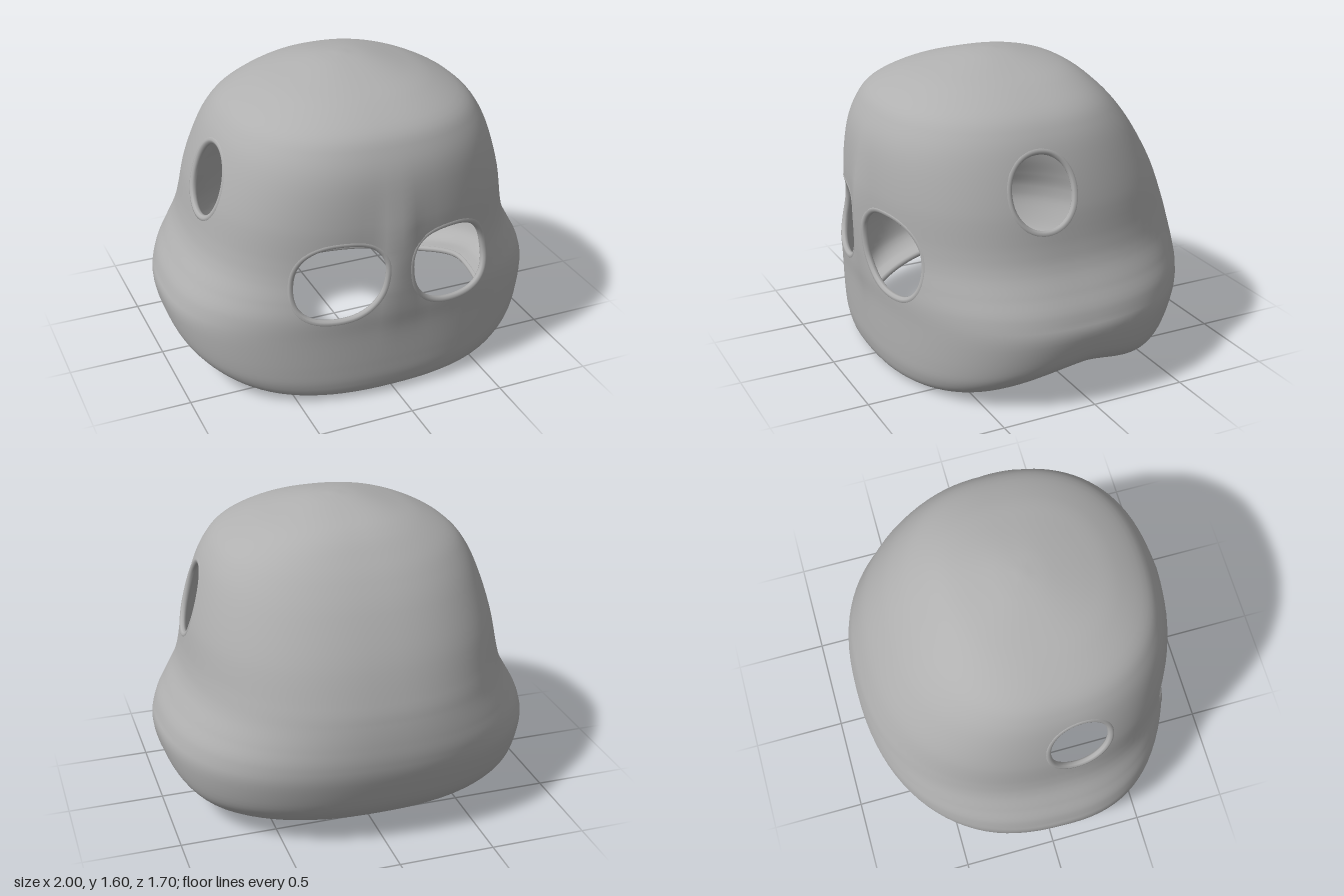
import * as THREE from 'three';

const THICK = 0.03, Z0 = 0.08;

// Shell levels from rim to crown: [y, half width, front z, back z]
const LEVELS = [
  [0, 0.80, 0.735, -0.56], [0.03, 0.88, 0.785, -0.66], [0.1, 0.945, 0.805, -0.73],
  [0.2, 0.98, 0.81, -0.785], [0.38, 1.0, 0.812, -0.835], [0.5, 0.975, 0.82, -0.85],
  [0.6, 0.92, 0.82, -0.845], [0.7, 0.865, 0.817, -0.83], [0.8, 0.835, 0.817, -0.805],
  [1.0, 0.80, 0.82, -0.73], [1.2, 0.74, 0.80, -0.62], [1.33, 0.68, 0.755, -0.525],
  [1.42, 0.60, 0.69, -0.44], [1.5, 0.45, 0.55, -0.345], [1.55, 0.30, 0.40, -0.24],
  [1.59, 0.14, 0.22, -0.06], [1.605, 0, Z0, Z0],
];
const sideCurve = new THREE.CatmullRomCurve3(
  LEVELS.map(([y, w]) => new THREE.Vector3(w, y, 0)), false, 'catmullrom');
const depthCurve = new THREE.CatmullRomCurve3(
  LEVELS.map(([, , f, b]) => new THREE.Vector3(f, b, 0)), false, 'catmullrom');

// Height of the bottom edge: low at the front, arched at the sides
function rimHeight(z) {
  const s = THREE.MathUtils.smoothstep;
  return z > 0 ? 0.01 + 0.17 * (1 - s(z, -0.05, 0.8)) : 0.18 - 0.095 * s(-z, -0.03, 0.45);
}

// Outer surface: u goes around from the front, v from rim to crown
function surface(u, v) {
  const t = THREE.MathUtils.clamp(v, 0, 1);
  const a = u * Math.PI * 2, k = 2 / 2.35;
  const side = sideCurve.getPoint(t), depth = depthCurve.getPoint(t);
  const s = Math.sin(a), c = Math.cos(a);
  const x = side.x * Math.sign(s) * Math.abs(s) ** k;
  const reach = c > 0 ? depth.x - Z0 : Z0 - depth.y;
  let z = Z0 + reach * Math.sign(c) * Math.abs(c) ** k;
  let y = side.y;
  // ridge between the eye openings
  if (c > 0) z += 0.033 * Math.exp(-((x / 0.09) ** 2) - ((y - 0.8) / 0.3) ** 2);
  if (y < 0.45) {
    const low = rimHeight(z);
    y = low + (0.45 - low) * (y / 0.45);
  }
  return new THREE.Vector3(x, y, z);
}

function normalAt(u, v) {
  if (v > 0.995) return new THREE.Vector3(0, 1, 0);
  const e = 0.002, v0 = Math.max(v - e, 0);
  const du = surface(u + e, v).sub(surface(u - e, v));
  const dv = surface(u, v + e).sub(surface(u, v0));
  return du.cross(dv).normalize();
}

// Openings: each test is negative inside
const oval = (a, b, n) => Math.abs(a) ** n + Math.abs(b) ** n - 1;
const openings = [];
for (const side of [1, -1]) {
  openings.push({
    name: side > 0 ? 'leftEyeRim' : 'rightEyeRim',
    test: (p) => {
      if (p.z < 0.2) return 9;
      const dy = p.y - 0.695;
      return oval((side * p.x - 0.3 + 0.12 * dy) / 0.235, dy / 0.215, 2.4);
    },
  });
  openings.push({
    name: side > 0 ? 'leftEarRim' : 'rightEarRim',
    test: (p) => (side * p.x < 0.3 ? 9 : oval((p.z - 0.175) / 0.172, (p.y - 1.075) / 0.195, 2.1)),
  });
}
const openTest = (q) => {
  const p = surface(q[0], q[1]);
  return Math.min(...openings.map((o) => o.test(p)));
};
const mix = (a, b, t) => [a[0] + (b[0] - a[0]) * t, a[1] + (b[1] - a[1]) * t];

// Point on the edge of an opening between an inside and an outside point
function crossing(inside, outside, test) {
  let lo = 0, hi = 1;
  for (let i = 0; i < 14; i++) {
    const m = (lo + hi) / 2;
    if (test(mix(inside, outside, m)) < 0) lo = m; else hi = m;
  }
  return mix(inside, outside, hi);
}

// Keep the part of a cell that lies outside the openings
function clip(poly) {
  const f = poly.map(openTest);
  if (f.every((d) => d >= 0)) return poly;
  const out = [];
  poly.forEach((q, i) => {
    const j = (i + 1) % poly.length;
    if (f[i] >= 0) out.push(q);
    if (f[i] >= 0 !== f[j] >= 0) {
      out.push(f[i] < 0 ? crossing(q, poly[j], openTest) : crossing(poly[j], q, openTest));
    }
  });
  return out;
}

// Outer and inner skins from the same clipped grid
function buildSkins() {
  const NU = 96, NV = 64;
  const outer = { pos: [], nor: [] }, inner = { pos: [], nor: [] };
  const emit = (tri) => {
    const pts = tri.map(([u, v]) => ({ p: surface(u, v), n: normalAt(u, v) }));
    for (const { p, n } of pts) {
      outer.pos.push(p.x, p.y, p.z);
      outer.nor.push(n.x, n.y, n.z);
    }
    for (const { p, n } of pts.reverse()) {
      const q = p.clone().addScaledVector(n, -THICK);
      inner.pos.push(q.x, q.y, q.z);
      inner.nor.push(-n.x, -n.y, -n.z);
    }
  };
  for (let j = 0; j < NV; j++) {
    for (let i = 0; i < NU; i++) {
      const [a, b, c, d] = [[i, j], [i + 1, j], [i + 1, j + 1], [i, j + 1]]
        .map(([m, n]) => [m / NU, n / NV]);
      for (const tri of [[a, b, c], [a, c, d]]) {
        const poly = clip(tri);
        for (let k = 1; k + 1 < poly.length; k++) emit([poly[0], poly[k], poly[k + 1]]);
      }
    }
  }
  return [outer, inner].map(({ pos, nor }) => {
    const g = new THREE.BufferGeometry();
    g.setAttribute('position', new THREE.Float32BufferAttribute(pos, 3));
    g.setAttribute('normal', new THREE.Float32BufferAttribute(nor, 3));
    return g;
  });
}

// Rounded edge that joins both skins along a path of (u, v) points
function edgeTube(path, radius) {
  const pts = path.map(([u, v]) => surface(u, v).addScaledVector(normalAt(u, v), -THICK / 2));
  return new THREE.TubeGeometry(new THREE.CatmullRomCurve3(pts, true), path.length * 2, radius, 8, true);
}

function openingPath(opening) {
  const test = (q) => opening.test(surface(q[0], q[1]));
  let centre = [0, 0], best = Infinity;
  for (let i = 0; i < 80; i++) {
    for (let j = 5; j < 60; j++) {
      const q = [i / 80 - 0.5, j / 64], d = test(q);
      if (d < best) { best = d; centre = q; }
    }
  }
  return Array.from({ length: 40 }, (_, i) => {
    const a = (i / 40) * Math.PI * 2;
    return crossing(centre, [centre[0] + 0.12 * Math.cos(a), centre[1] + 0.24 * Math.sin(a)], test);
  });
}

export function createModel() {
  const group = new THREE.Group();
  group.name = 'helmet';
  const shellGrey = new THREE.MeshStandardMaterial({ color: 0xb0b0b0 });
  shellGrey.name = 'shellGrey';
  const add = (name, geometry) => {
    const mesh = new THREE.Mesh(geometry, shellGrey);
    mesh.name = name;
    group.add(mesh);
  };

  const [outer, inner] = buildSkins();
  add('outerShell', outer);
  add('innerShell', inner);
  for (const o of openings) add(o.name, edgeTube(openingPath(o), 0.018));
  add('bottomRim', edgeTube(Array.from({ length: 96 }, (_, i) => [i / 96, 0]), 0.017));
  return group;
}
